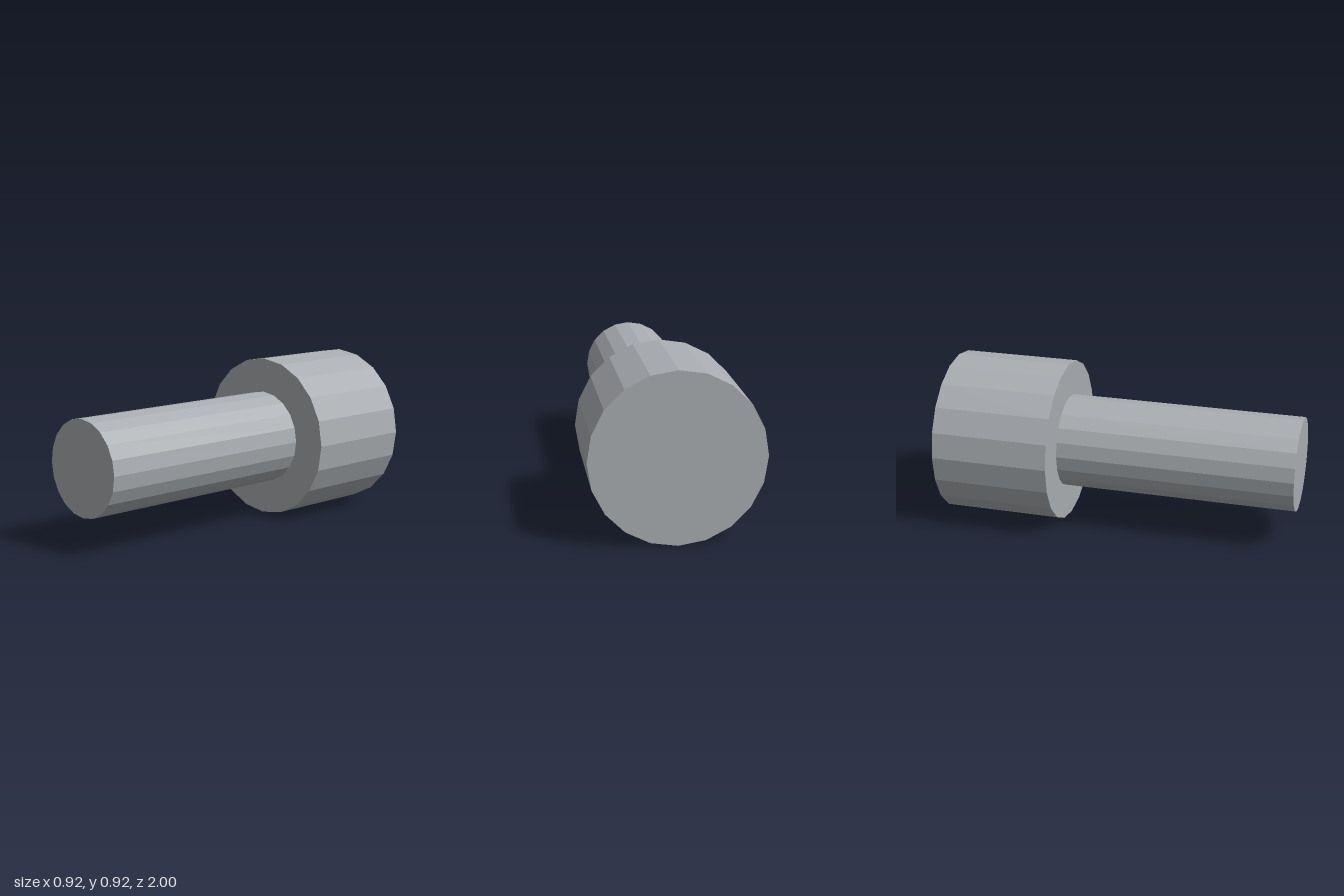
import * as THREE from 'three';

const SIDES = 20;
const CENTRE_Y = 0.459;

export function createModel() {
  const group = new THREE.Group();
  group.name = 'bolt';
  const steel = new THREE.MeshStandardMaterial({ color: 0xa9adb1, flatShading: true });
  steel.name = 'steel grey';

  // Faceted cylinder lying along z, from zBack to zFront
  const addCylinder = (name, radius, zBack, zFront) => {
    const geometry = new THREE.CylinderGeometry(radius, radius, zFront - zBack, SIDES);
    geometry.rotateX(Math.PI / 2);
    const mesh = new THREE.Mesh(geometry, steel);
    mesh.name = name;
    mesh.position.set(0, CENTRE_Y, (zBack + zFront) / 2);
    group.add(mesh);
  };

  addCylinder('head', 0.459, -1, -0.335);
  addCylinder('shaft', 0.264, -0.335, 1);

  return group;
}
